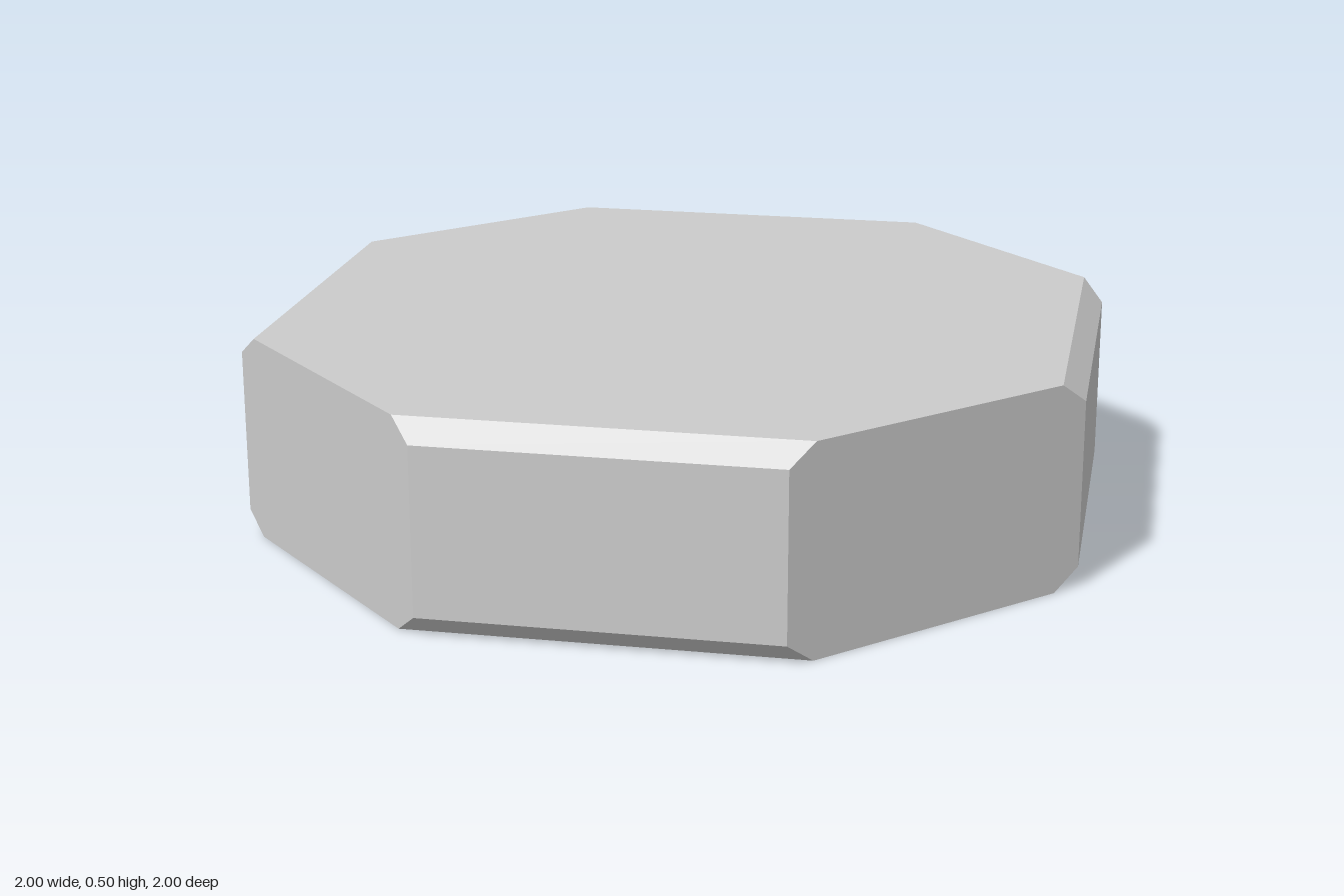
import * as THREE from 'three';

const HEIGHT = 0.5;
const BEVEL = 0.05;

// Octagonal ring, counter-clockwise from above. The inset pulls in only the
// four axis-facing sides, so the diagonal sides stay in one vertical plane.
function ring(y, inset) {
  const r = 1 - inset;
  const c = Math.SQRT2 - r;
  return [[r, c], [r, -c], [c, -r], [-c, -r], [-r, -c], [-r, c], [-c, r], [c, r]]
    .map(([x, z]) => [x, y, z]);
}

function slabGeometry() {
  const rings = [
    ring(0, BEVEL), ring(BEVEL, 0), ring(HEIGHT - BEVEL, 0), ring(HEIGHT, BEVEL),
  ];
  const positions = [];
  const tri = (...corners) => corners.forEach((p) => positions.push(...p));

  // Walls and bevels between neighbouring rings
  for (let k = 0; k < rings.length - 1; k++) {
    const low = rings[k], high = rings[k + 1];
    for (let i = 0; i < 8; i++) {
      const j = (i + 1) % 8;
      tri(low[i], low[j], high[j]);
      tri(low[i], high[j], high[i]);
    }
  }

  // Flat top and bottom
  const bottom = rings[0], top = rings[rings.length - 1];
  for (let i = 1; i < 7; i++) {
    tri(top[0], top[i], top[i + 1]);
    tri(bottom[0], bottom[i + 1], bottom[i]);
  }

  const geometry = new THREE.BufferGeometry();
  geometry.setAttribute('position', new THREE.Float32BufferAttribute(positions, 3));
  geometry.computeVertexNormals();
  return geometry;
}

export function createModel() {
  const group = new THREE.Group();
  group.name = 'octagonalSlab';
  const material = new THREE.MeshStandardMaterial({ color: 0xcccccc, flatShading: true });
  const slab = new THREE.Mesh(slabGeometry(), material);
  slab.name = 'slab';
  group.add(slab);
  return group;
}
